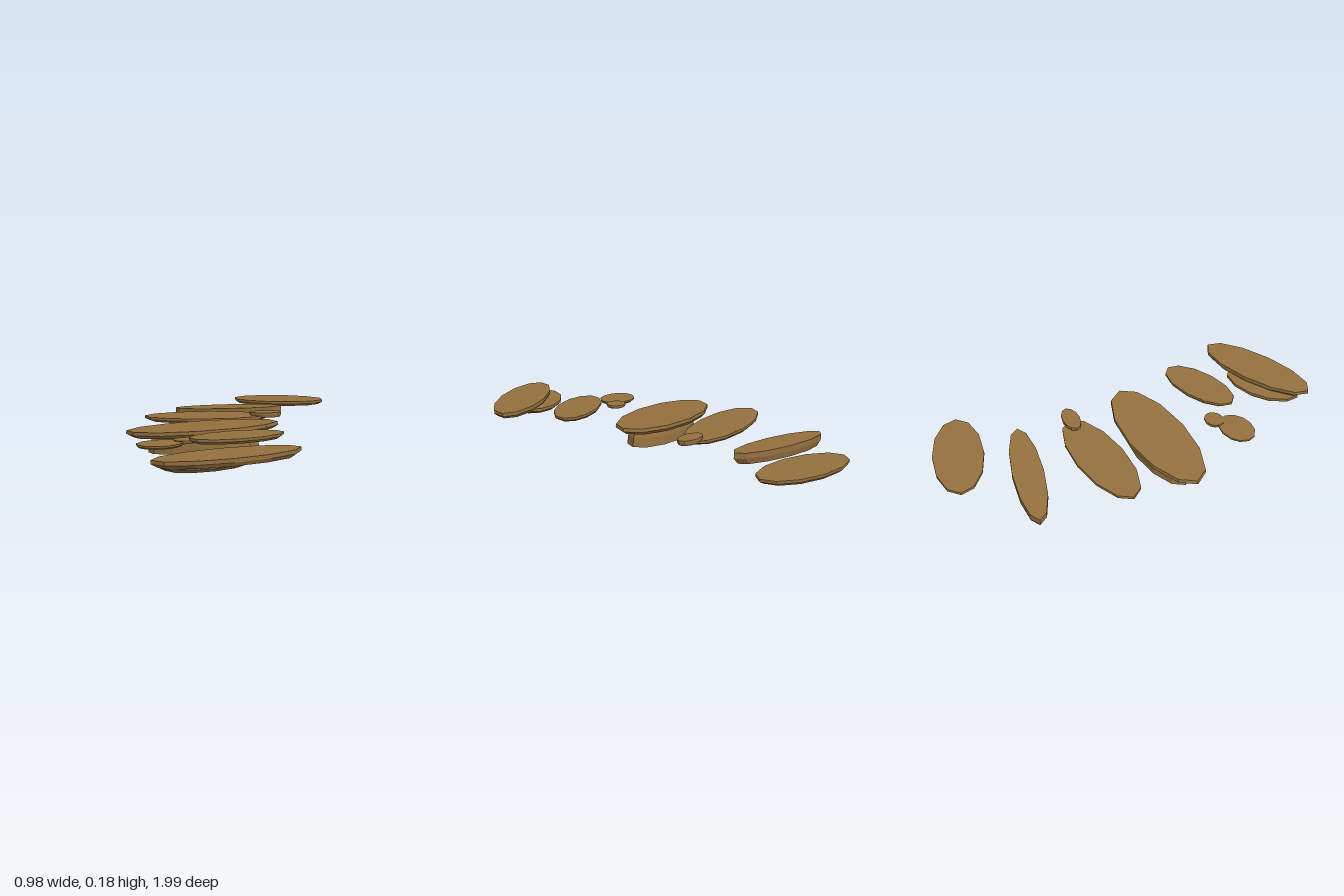
import * as THREE from 'three';

const stone = new THREE.MeshStandardMaterial({ color: 0x94703e, flatShading: true });
stone.name = 'brown stone';

// Faceted oval slab: y is the height of its top centre, angle turns it in plan,
// slope is the rise along x, and scales are the ring sizes at bottom, middle and top.
function slab(name, { x, z, y, a, b, angle = 0, thick = 0.03, slope = 0.04, scales = [0.91, 1, 1] }) {
  const geo = new THREE.CylinderGeometry(1, 1, 1, 12, 2);
  const p = geo.attributes.position;
  for (let i = 0; i < p.count; i++) {
    const s = scales[Math.round((p.getY(i) + 0.5) * 2)];
    p.setXYZ(i, p.getX(i) * s * a, (p.getY(i) - 0.5) * thick, p.getZ(i) * s * b);
  }
  geo.rotateY(THREE.MathUtils.degToRad(angle));
  for (let i = 0; i < p.count; i++) p.setY(i, p.getY(i) + slope * p.getX(i));
  geo.computeVertexNormals();
  const mesh = new THREE.Mesh(geo, stone);
  mesh.name = name;
  mesh.position.set(x, y, z);
  return mesh;
}

export function createModel() {
  const group = new THREE.Group();
  group.name = 'steppingStones';
  group.add(
    // Front pair, one slab stacked on another
    slab('frontStone', { x: 0.1, z: 0.84, y: 0.165, a: 0.328, b: 0.118, angle: 20.7, thick: 0.035 }),
    slab('frontLowerStone', { x: 0.01, z: 0.82, y: 0.133, a: 0.212, b: 0.133, angle: 25, thick: 0.03, scales: [0.87, 1, 1] }),
    // Second row: one medium stone and two pebbles
    slab('mediumStone', { x: 0.105, z: 0.47, y: 0.174, a: 0.222, b: 0.106, angle: 16.7, thick: 0.024, slope: 0.035 }),
    slab('pebble', { x: -0.255, z: 0.465, y: 0.126, a: 0.11, b: 0.085, thick: 0.016 }),
    slab('smallPebble', { x: -0.145, z: 0.4, y: 0.134, a: 0.056, b: 0.049, thick: 0.016 }),
    // Largest stone on its pedestal
    slab('largeStone', { x: -0.11, z: 0.077, y: 0.14, a: 0.385, b: 0.157, thick: 0.034, slope: 0.08, scales: [0.92, 1, 0.99] }),
    slab('pedestal', { x: -0.1, z: 0.083, y: 0.115, a: 0.281, b: 0.115, thick: 0.0925, slope: 0.08, scales: [1, 0.97, 0.88] }),
    // Fourth row with a small stone on its end
    slab('longStone', { x: -0.13, z: -0.255, y: 0.138, a: 0.33, b: 0.125, thick: 0.026, slope: 0.025 }),
    slab('endPebble', { x: 0.19, z: -0.25, y: 0.163, a: 0.085, b: 0.045, angle: -8, thick: 0.026 }),
    // Thick narrow stone
    slab('thickStone', { x: -0.05, z: -0.605, y: 0.13, a: 0.321, b: 0.077, angle: -15.5, thick: 0.058, slope: 0.08 }),
    // Rear stone
    slab('rearStone', { x: 0.225, z: -0.85, y: 0.144, a: 0.277, b: 0.126, angle: -19.3, thick: 0.026 })
  );
  return group;
}
